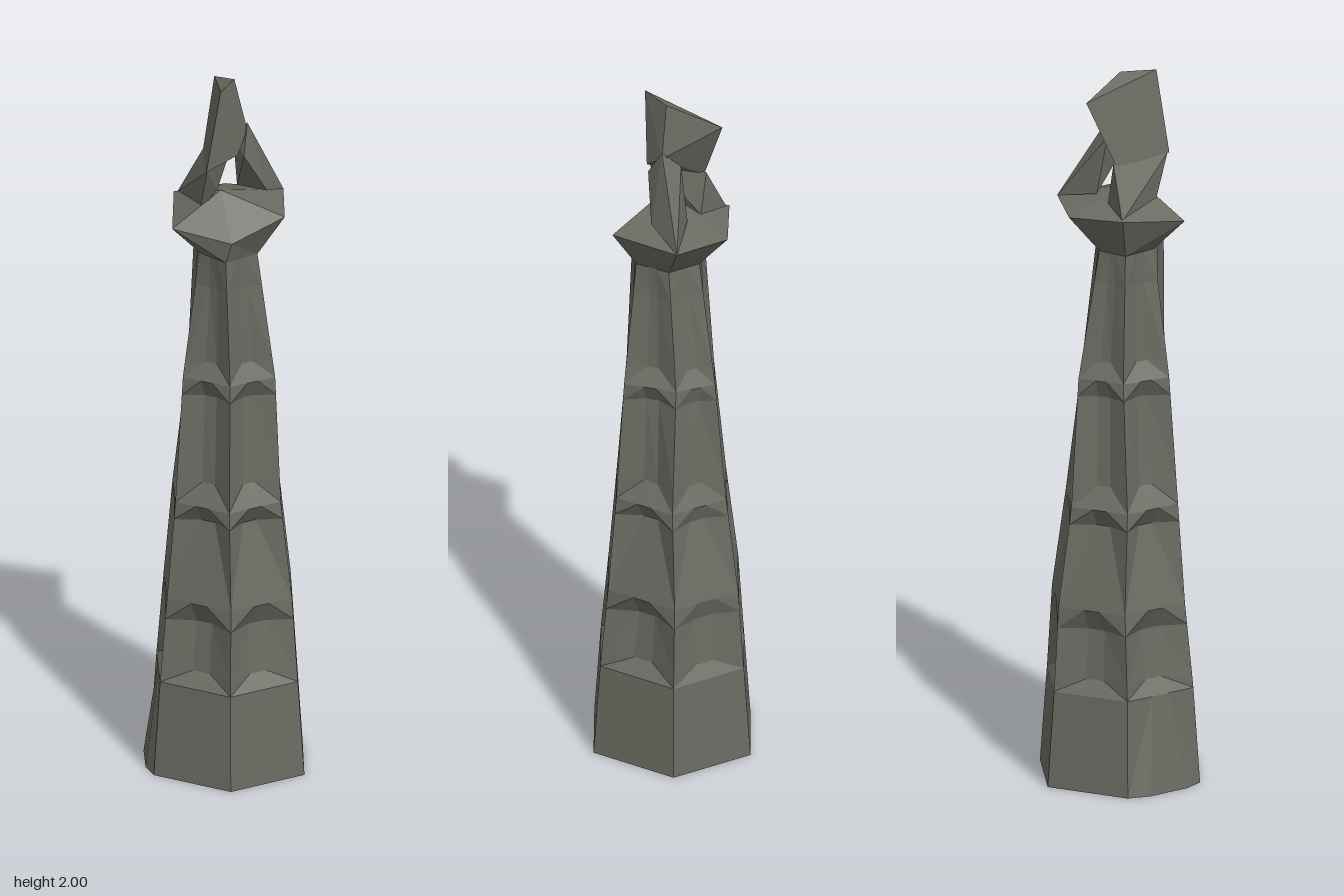
import * as THREE from 'three';
import { ConvexGeometry } from 'three/addons/geometries/ConvexGeometry.js';

const stone = new THREE.MeshStandardMaterial({ color: 0x6b6a62, flatShading: true, side: THREE.DoubleSide });

// uneven hexagonal plan, [x, z], running from +x towards +z
const PLAN = [[0.24, 0.035], [0.1, 0.225], [-0.14, 0.19], [-0.24, -0.03], [-0.1, -0.225], [0.14, -0.2]];
const shrink = (s, dz = 0) => PLAN.map(([x, z]) => [x * s, z * s + dz]);

// storeys joined by straight corner edges: height and corners
const STOREYS = [
  [0, PLAN],
  [0.27, shrink(0.915)],
  [0.51, shrink(0.83, -0.005)],
  [0.79, shrink(0.7, 0.004)],
  [1.15, [[0.148, 0.02], [0.06, 0.13], [-0.085, 0.115], [-0.125, -0.02], [-0.05, -0.13], [0.06, -0.1]]],
  [1.51, [[0.1, 0.03], [0.045, 0.125], [-0.05, 0.08], [-0.103, -0.01], [-0.04, -0.07], [0.055, -0.06]]],
];

// levels of the panels between the corners: [y, inward depth]
const LEVELS = [[0, 0], [0.27, 0], [0.31, 0.03], [0.45, 0.035], [0.51, 0], [0.74, 0.035],
  [0.79, 0], [0.85, 0.03], [1.1, 0.028], [1.15, 0], [1.2, 0.022], [1.42, 0.01], [1.51, 0]];

// faces carved less deeply than the others
const CARVING = [1, 1, 1, 0.9, 0.65, 1];

function cornersAt(y) {
  let i = 0;
  while (i < STOREYS.length - 2 && y > STOREYS[i + 1][0]) i++;
  const [y0, low] = STOREYS[i], [y1, high] = STOREYS[i + 1];
  const t = (y - y0) / (y1 - y0);
  return low.map(([x, z], k) => new THREE.Vector3(x + (high[k][0] - x) * t, y, z + (high[k][1] - z) * t));
}

// each hexagon side gets two inner points, so a panel can sink between the corners
function shaftRing([y, depth]) {
  const c = cornersAt(y), ring = [];
  c.forEach((p, i) => {
    const q = c[(i + 1) % 6];
    const inward = new THREE.Vector3(p.z - q.z, 0, q.x - p.x).normalize();
    const bulge = y === 0 && i === 2;
    const d = bulge ? -0.02 : depth * CARVING[i];
    const inset = bulge ? 0.25 : 0.38;
    ring.push(p);
    for (const t of [inset, 1 - inset]) ring.push(p.clone().lerp(q, t).addScaledVector(inward, d));
  });
  return ring;
}

// skin closed rings from bottom to top, with an optional peak over the last one
function loft(rings, peak) {
  const pos = [];
  const tri = (...pts) => pts.forEach((p) => pos.push(p.x, p.y, p.z));
  const n = rings[0].length;
  for (let i = 0; i < n; i++) {
    const j = (i + 1) % n;
    for (let k = 0; k < rings.length - 1; k++) {
      const a = rings[k], b = rings[k + 1];
      if (i % 3 === 2) {
        tri(a[i], b[i], a[j]);
        tri(a[j], b[i], b[j]);
      } else {
        tri(a[i], b[i], b[j]);
        tri(a[i], b[j], a[j]);
      }
    }
    const last = rings[rings.length - 1];
    if (peak) tri(peak, last[j], last[i]);
  }
  const geo = new THREE.BufferGeometry();
  geo.setAttribute('position', new THREE.Float32BufferAttribute(pos, 3));
  geo.computeVertexNormals();
  return geo;
}

const vectors = (list) => list.map((p) => new THREE.Vector3(...p));

export function createModel() {
  const model = new THREE.Group();
  const add = (name, geo) => {
    const mesh = new THREE.Mesh(geo, stone);
    mesh.name = name;
    model.add(mesh);
  };

  // hollow tapering shaft with sunken panels, open underneath
  add('shaft', loft(LEVELS.map(shaftRing)));

  // flared collar with an uneven rim
  const rim = vectors([[0.18, 1.63, 0.03], [0.065, 1.57, 0.13], [-0.1, 1.6, 0.155],
    [-0.17, 1.63, -0.03], [-0.07, 1.62, -0.16], [0.1, 1.63, -0.16]]);
  add('collar', loft([cornersAt(1.51), rim], new THREE.Vector3(0, 1.69, 0.05)));

  // neck rising from the collar into the spire
  add('neck', new ConvexGeometry(vectors([[-0.16, 1.63, -0.03], [-0.085, 1.77, -0.04], [-0.05, 1.63, 0.08],
    [0, 1.7, 0.075], [0.03, 1.8, 0.07], [-0.06, 1.65, -0.05], [-0.01, 1.77, 0.125]])));

  // leaning broken spire
  add('spire', new ConvexGeometry(vectors([[-0.085, 1.95, -0.115], [0.02, 2, 0], [0.02, 2, 0.1],
    [-0.01, 1.77, 0.13], [-0.085, 1.76, -0.03], [0.05, 1.85, -0.02], [0.05, 1.8, 0.05]])));

  // broad slanting strut that leaves a small gap beneath the spire
  add('strut', new ConvexGeometry(vectors([[0.1, 1.63, -0.16], [0, 1.66, -0.07], [0.1, 1.67, -0.04],
    [0.05, 1.87, -0.02], [0.06, 1.79, 0.03], [0.03, 1.8, -0.055], [0, 1.82, -0.04]])));

  return model;
}
